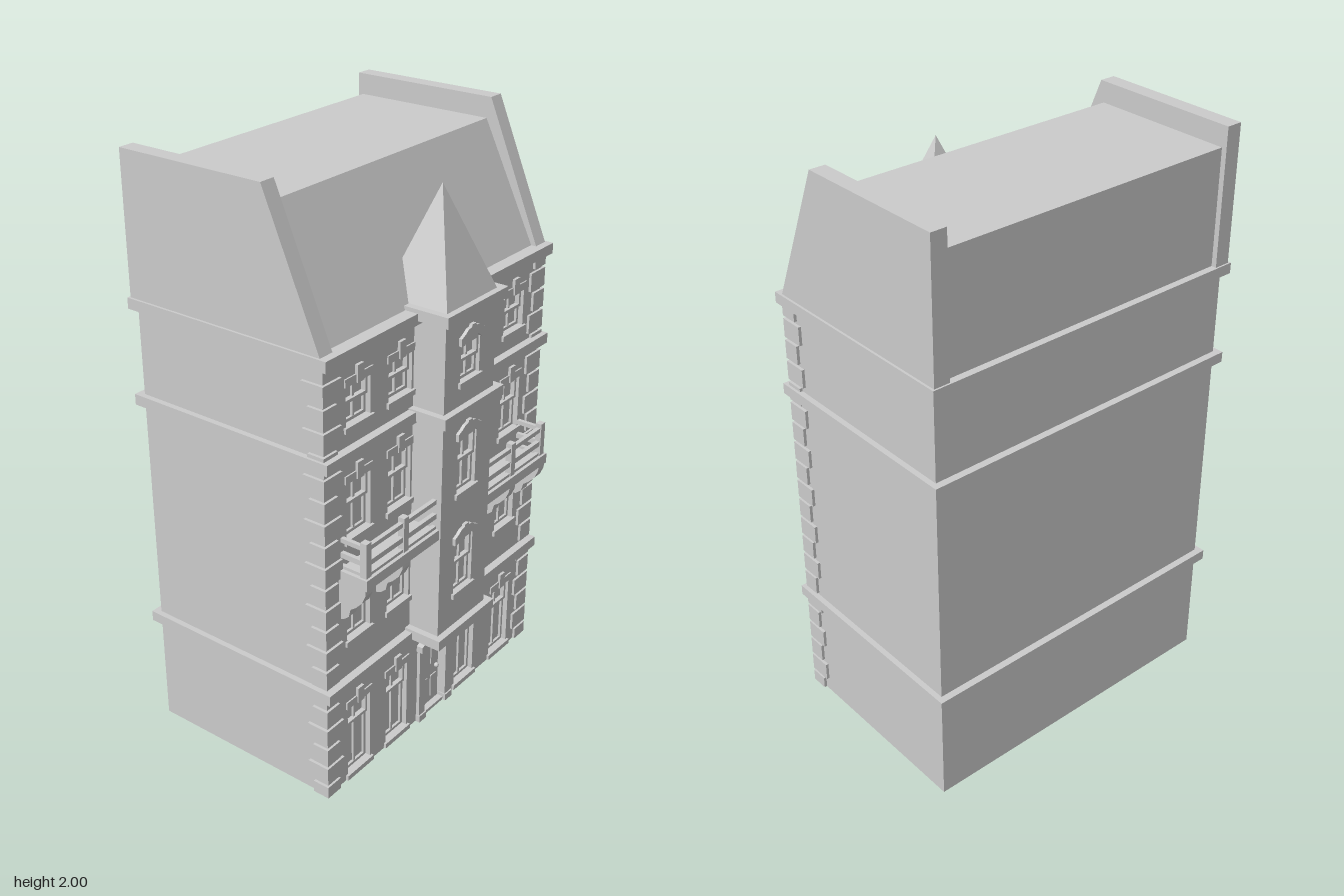
import * as THREE from 'three';

const mat = new THREE.MeshStandardMaterial({ color: 0xcccccc, flatShading: true });

// Box given by its min/max on each axis
function box(parent, name, x0, x1, y0, y1, z0, z1) {
  const m = new THREE.Mesh(new THREE.BoxGeometry(x1 - x0, y1 - y0, z1 - z0), mat);
  m.position.set((x0 + x1) / 2, (y0 + y1) / 2, (z0 + z1) / 2);
  m.name = name;
  parent.add(m);
  return m;
}

const toShape = pts => new THREE.Shape(pts.map(p => new THREE.Vector2(...p)));

// Plate parallel to the facade: points are (-z, y), thickness runs along x
function plate(parent, name, pts, x0, x1, holes = []) {
  const shape = toShape(pts);
  holes.forEach(h => shape.holes.push(new THREE.Path(h.map(p => new THREE.Vector2(...p)))));
  const g = new THREE.ExtrudeGeometry(shape, { depth: x1 - x0, bevelEnabled: false });
  g.rotateY(Math.PI / 2).translate(x0, 0, 0);
  const m = new THREE.Mesh(g, mat);
  m.name = name;
  parent.add(m);
}

// Side profile in (x, y), extruded along z
function profile(parent, name, pts, z0, z1) {
  const g = new THREE.ExtrudeGeometry(toShape(pts), { depth: z1 - z0, bevelEnabled: false });
  const m = new THREE.Mesh(g.translate(0, 0, z0), mat);
  m.name = name;
  parent.add(m);
}

const rect = (u0, u1, v0, v1) => [[u0, v0], [u1, v0], [u1, v1], [u0, v1]];

// Low arched hood with a raised middle
function hood(parent, name, z, y, w, h, x0, x1) {
  const side = [[0.5, 0], [0.5, 0.45], [0.36, 0.6], [0.22, 0.82], [0.1, 0.86], [0.08, 1]];
  const right = side.map(([u, v]) => [-z + u * w, y + v * h]);
  const left = side.map(([u, v]) => [-z - u * w, y + v * h]).reverse();
  const inner = [[-0.36, 0], [-0.2, 0.28], [0.2, 0.28], [0.36, 0]].map(([u, v]) => [-z + u * w, y + v * h]);
  plate(parent, name, [...right, ...left, ...inner], x0, x1);
}

// Sash window in a recess; xb is the back of the recess, xf the wall face
function sashWindow(parent, z, w, y0, y1, xb, xf, arched) {
  const g = new THREE.Group();
  g.name = 'window';
  parent.add(g);
  const h = w / 2, mid = y1 - Math.min(0.085, (y1 - y0) * 0.5), t = 0.01;
  plate(g, 'upperSash', rect(-z - h, -z + h, mid, y1), xb, xb + 0.016,
    [rect(-z - h + t, -z + h - t, mid + t, y1 - t)]);
  plate(g, 'lowerSash', rect(-z - h, -z + h, y0, mid), xb, xb + 0.009,
    [rect(-z - h + t, -z + h - t, y0 + t, mid)]);
  box(g, 'mullion', xb, xb + 0.008, y0, y1, z - 0.004, z + 0.004);
  box(g, 'sill', xb, xf + 0.009, y0 - 0.018, y0, z - h - 0.01, z + h + 0.01);
  if (arched) hood(g, 'hood', z, y1, w + 0.025, 0.055, xb + 0.01, xf + 0.011);
  else {
    box(g, 'lintel', xb, xf + 0.005, y1, y1 + 0.026, z - h - 0.008, z + h + 0.008);
    box(g, 'keystone', xb, xf + 0.01, y1, y1 + 0.055, z - 0.015, z + 0.015);
  }
}

export function createModel() {
  const model = new THREE.Group();
  model.name = 'townhouse';
  const FACE = 0.297, BACK = 0.27, T0 = -0.125, T1 = 0.143, TZ = 0.01;

  // Main block with a pierced facade in front of it
  box(model, 'body', -0.412, BACK, 0, 1.53, -0.574, 0.574);
  const columns = [0.413, 0.21, -0.19, -0.413];
  const floors = [[0.02, 0.285], [0.545, 0.732], [0.91, 1.1], [1.285, 1.412]];
  const W = 0.116, holes = [];
  for (const z of columns)
    for (const [a, b] of floors) holes.push(rect(-z - W / 2, -z + W / 2, a, b));
  holes.push(rect(-0.062, 0.062, 0.012, 0.295));
  plate(model, 'facade', rect(-0.574, 0.574, 0, 1.53), BACK, FACE, holes);
  for (const z of columns)
    for (const [a, b] of floors) sashWindow(model, z, W, a, b, BACK, FACE, false);

  // Cornice bands around the block
  for (const y of [0.38, 1.185, 1.505])
    box(model, 'corniceBand', -0.436, 0.325, y, y + 0.036, -0.593, 0.593);

  // Alternating corner stones
  for (const s of [1, -1])
    for (let i = 0; i < 21; i++) {
      const c = 0.01 + i * 0.0744, wide = i % 2 === 1;
      const a = Math.max(0, c - 0.032), b = Math.min(1.51, c + 0.032);
      const len = wide ? 0.08 : 0.06;
      const zi = s * (wide ? 0.5 : 0.52), zo = s * 0.584;
      box(model, 'cornerStone', 0.306 - len, 0.306, a, b, Math.min(zi, zo), Math.max(zi, zo));
    }

  // Mansard roof and taller end walls
  profile(model, 'mansardRoof', [[-0.412, 1.53], [0.285, 1.53], [0.088, 1.93], [-0.412, 1.93]], -0.535, 0.535);
  for (const z of [-0.585, 0.53])
    profile(model, 'gableWall', [[-0.43, 1.53], [0.303, 1.53], [0.103, 2], [-0.43, 2]], z, z + 0.055);

  // Projecting bay tower
  const tower = new THREE.Group();
  tower.name = 'bayTower';
  model.add(tower);
  box(tower, 'towerCore', 0.25, 0.388, 0.4, 1.54, T0, T1);
  const bays = [[0.55, 0.738], [0.92, 1.11], [1.305, 1.428]], BW = 0.102;
  plate(tower, 'towerFront', rect(-T1, -T0, 0.4, 1.54), 0.388, 0.41,
    bays.map(([a, b]) => rect(-TZ - BW / 2, -TZ + BW / 2, a, b)));
  for (const [a, b] of bays) sashWindow(tower, TZ, BW, a, b, 0.388, 0.41, true);
  for (const y of [0.39, 1.19, 1.518])
    box(tower, 'towerBand', 0.275, 0.433, y, y + 0.036, -0.152, 0.166);
  const spire = new THREE.ConeGeometry(Math.SQRT1_2, 1, 4, 1).rotateY(Math.PI / 4);
  const cap = new THREE.Mesh(spire, mat);
  cap.name = 'spire';
  cap.scale.set(0.236, 0.34, 0.265);
  cap.position.set(0.294, 1.722, TZ);
  tower.add(cap);

  // Entrance
  const door = new THREE.Group();
  door.name = 'entrance';
  model.add(door);
  box(door, 'doorLeaf', BACK, 0.279, 0.012, 0.295, -0.056, 0.056);
  for (const s of [-1, 1]) {
    box(door, 'doorPilaster', BACK, 0.309, 0, 0.295, s * 0.077 - 0.017, s * 0.077 + 0.017);
    box(door, 'pilasterFoot', BACK, 0.314, 0, 0.025, s * 0.077 - 0.02, s * 0.077 + 0.02);
    for (const [a, b] of [[0.035, 0.12], [0.17, 0.275]])
      box(door, 'doorPanel', 0.278, 0.283, a, b, s * 0.026 - 0.016, s * 0.026 + 0.016);
  }
  box(door, 'doorstep', BACK, 0.302, 0, 0.012, -0.06, 0.06);
  hood(door, 'doorHood', 0, 0.29, 0.195, 0.052, BACK, 0.32);
  const knob = new THREE.Mesh(new THREE.SphereGeometry(0.009, 10, 8), mat);
  knob.name = 'doorKnob';
  knob.position.set(0.287, 0.153, -0.037);
  door.add(knob);

  // Balconies on either side of the tower
  for (const s of [1, -1]) {
    const b = new THREE.Group();
    b.name = 'balcony';
    model.add(b);
    const inner = s > 0 ? T1 : T0, outer = s > 0 ? 0.513 : -0.498;
    const span = (name, x0, x1, y0, y1, za, zb) =>
      box(b, name, x0, x1, y0, y1, Math.min(za, zb), Math.max(za, zb));
    span('deck', 0.29, 0.405, 0.79, 0.826, inner, outer);
    const end = outer - s * 0.02;
    for (const [y0, y1] of [[0.915, 0.93], [0.862, 0.88], [0.826, 0.836]]) {
      span('frontRail', 0.378, 0.393, y0, y1, inner, end);
      span('sideRail', 0.29, 0.393, y0, y1, end - s * 0.007, end + s * 0.007);
    }
    for (const z of [end, s > 0 ? 0.306 : -0.294])
      box(b, 'railPost', 0.374, 0.397, 0.826, 0.945, z - 0.012, z + 0.012);
    // Scrolled support brackets
    for (const z of [outer - s * 0.02, outer - s * 0.205])
      profile(b, 'bracket', [[0.28, 0.645], [0.315, 0.655], [0.335, 0.672], [0.342, 0.7], [0.362, 0.715],
        [0.385, 0.74], [0.398, 0.77], [0.4, 0.795], [0.28, 0.795]], z - 0.018, z + 0.018);
  }
  return model;
}
